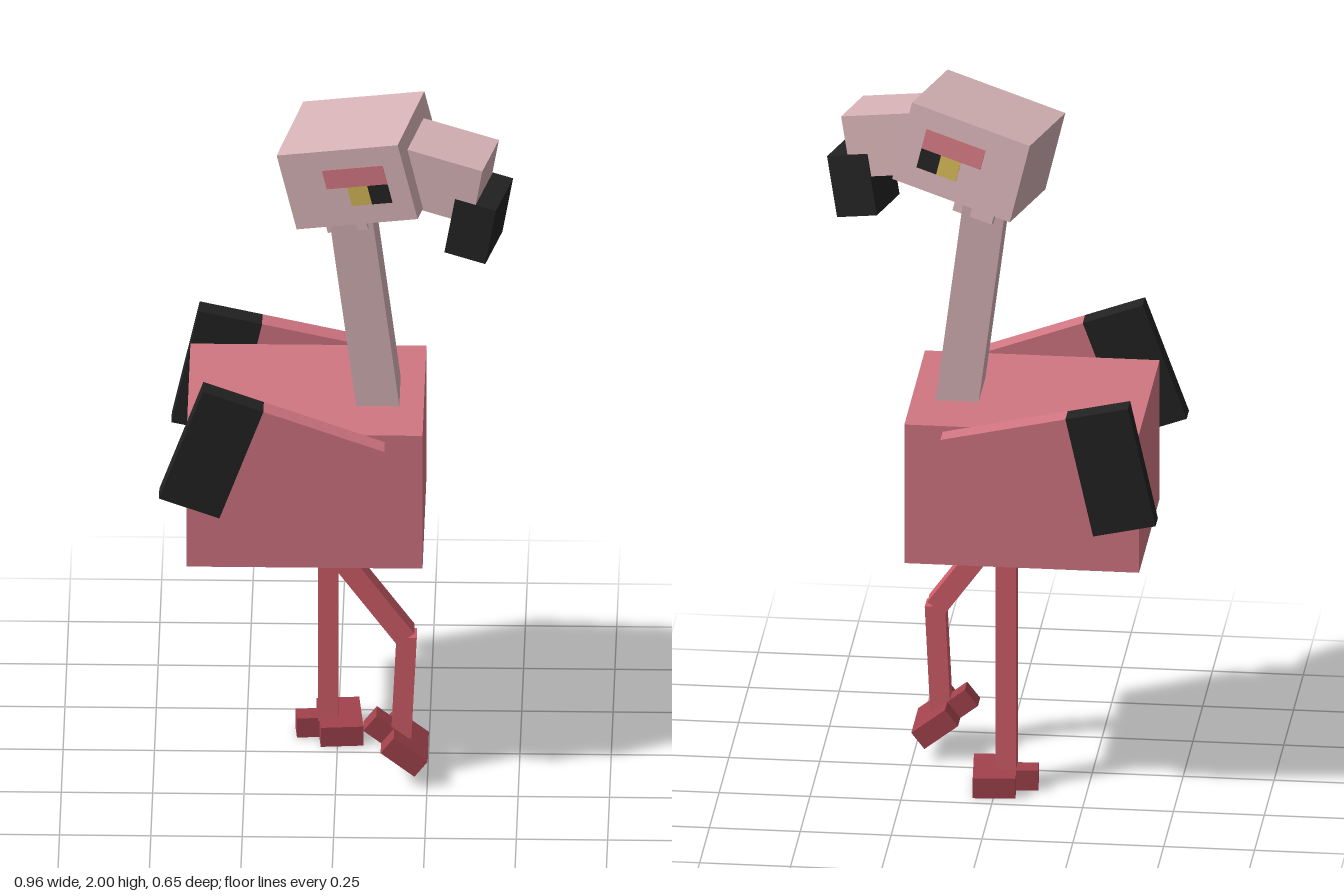
import * as THREE from 'three';

const U = 0.0587; // size of one modelling block

const mat = (name, color) => {
  const m = new THREE.MeshStandardMaterial({ color });
  m.name = name;
  return m;
};

export function createModel() {
  const pink = mat('body pink', 0xd17682);
  const pale = mat('pale pink', 0xd6b2b5);
  const coral = mat('leg coral', 0xd05d69);
  const dark = mat('foot red', 0xa2424c);
  const black = mat('black', 0x222222);
  const yellow = mat('eye yellow', 0xcfb455);

  const model = new THREE.Group();
  model.name = 'wadingBird';

  const box = (parent, name, material, size, pos, rotZ = 0) => {
    const mesh = new THREE.Mesh(new THREE.BoxGeometry(...size), material);
    mesh.name = name;
    mesh.position.set(...pos);
    mesh.rotation.z = rotZ;
    parent.add(mesh);
    return mesh;
  };

  // Group whose local x points along "forward" and local z along "side"
  const aimed = (name, pos, forward, side) => {
    const g = new THREE.Group();
    g.name = name;
    const x = new THREE.Vector3(...forward).normalize();
    const y = new THREE.Vector3(...side).cross(x).normalize();
    const z = x.clone().cross(y);
    g.quaternion.setFromRotationMatrix(new THREE.Matrix4().makeBasis(x, y, z));
    g.position.set(...pos);
    model.add(g);
    return g;
  };

  // Box stretched between two points in the xy plane
  const limb = (name, material, a, b, width, depth, z) => {
    const dx = b[0] - a[0], dy = b[1] - a[1];
    box(model, name, material, [width, Math.hypot(dx, dy), depth],
      [(a[0] + b[0]) / 2, (a[1] + b[1]) / 2, z], Math.atan2(-dx, dy));
  };

  // Body and neck
  box(model, 'body', pink, [11 * U, 7 * U, 9 * U], [-0.084, 0.915, 0]);
  limb('neck', pale, [0.118, 1.08], [0.034, 1.74], 2 * U, 3 * U, 0.004);

  // Wings with black tips
  for (const [name, x, y, z, deg] of [
    ['leftWing', -0.173, 1.025, 0.293, -20],
    ['rightWing', -0.163, 0.99, -0.296, -12.5],
  ]) {
    const wing = new THREE.Group();
    wing.name = name;
    wing.position.set(x, y, z);
    wing.rotation.z = THREE.MathUtils.degToRad(deg);
    model.add(wing);
    box(wing, 'wingPanel', pink, [6 * U, 6 * U, U], [1.5 * U, 0, 0]);
    box(wing, 'wingTip', black, [3 * U, 6 * U, U], [-3 * U, 0, 0]);
  }

  // Head, turned and tilted, with the throat below it
  const head = aimed('head', [0.064, 1.839, 0.0135], [0.335, 0.08, 0.084], [-0.07, -0.018, 0.281]);
  box(head, 'skull', pale, [6 * U, 4 * U, 5 * U], [0, 0, 0]);
  box(head, 'throat', pale, [2 * U, 2 * U, 3 * U], [-0.055, -0.11, 0]);

  // Painted eyes on both cheeks
  for (const s of [1, -1]) {
    const z = s * 2.5 * U;
    box(head, 'eyelid', pink, [3 * U, U, 0.004], [0.5 * U, 0.5 * U, z]);
    box(head, 'eyeWhite', yellow, [U, U, 0.004], [0.5 * U, -0.5 * U, z]);
    box(head, 'pupil', black, [U, U, 0.004], [1.5 * U, -0.5 * U, z]);
  }

  // Bill and its drooping black tip
  const billForward = [0.21, -0.04, 0.05], billSide = [-0.04, -0.008, 0.17];
  const bill = aimed('bill', [0.295, 1.839, 0.0685], billForward, billSide);
  box(bill, 'upperBill', pale, [4 * U, 3 * U, 3 * U], [0, 0, 0]);
  const tip = aimed('billTip', [0.389, 1.709, 0.083], billForward, billSide);
  box(tip, 'lowerBill', black, [2 * U, 3 * U, 3 * U + 0.006], [0, 0, 0]);

  // Foot: wide toes in front, narrow heel behind
  const foot = (name, pos, yaw, pitch) => {
    const g = new THREE.Group();
    g.name = name;
    g.position.set(...pos);
    g.rotation.set(0, yaw, pitch);
    model.add(g);
    box(g, 'toes', dark, [2 * U, U, 3 * U], [0.5 * U, 0, 0]);
    box(g, 'heel', dark, [U + 0.005, U, U], [-U, 0, 0]);
  };

  // Straight standing leg
  limb('standingLeg', coral, [-0.027, 0.72], [-0.027, 0.05], U * 0.95, U, -0.115);
  foot('standingFoot', [-0.024, U / 2, -0.12], 0.087, 0);

  // Bent, lifted leg
  limb('thigh', coral, [-0.024, 0.725], [0.19, 0.43], U, U, 0.12);
  limb('shin', coral, [0.193, 0.435], [0.178, 0.125], U * 0.95, U, 0.12);
  foot('liftedFoot', [0.164, 0.113, 0.12], 0, -0.66);

  return model;
}
